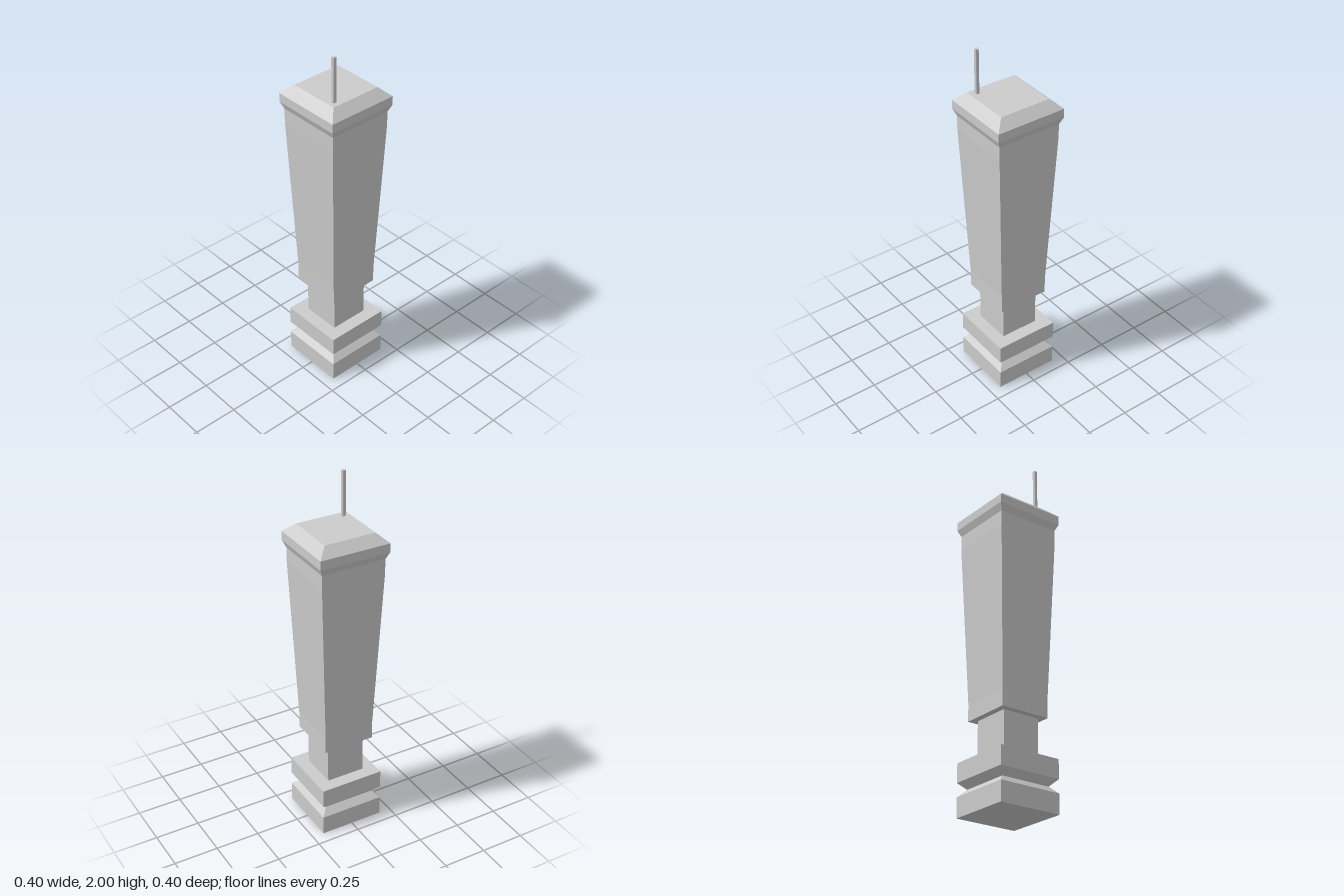
import * as THREE from 'three';

const material = new THREE.MeshStandardMaterial({ color: 0xcccccc, flatShading: true });

// Square post section: four-sided lathe from [half width, height] pairs, bottom to top
function squareTurned(name, profile) {
  const points = profile.map(([half, y]) => new THREE.Vector2(half * Math.SQRT2, y));
  const geometry = new THREE.LatheGeometry(points, 4, Math.PI / 4);
  const mesh = new THREE.Mesh(geometry, material);
  mesh.name = name;
  return mesh;
}

// Thin upright rod with a rounded-square section
function makeRod(x, z, y0, y1, half, r) {
  const shape = new THREE.Shape();
  const corners = [[1, -1], [1, 1], [-1, 1], [-1, -1]];
  const inner = half - r;
  corners.forEach(([sx, sy], i) => {
    const start = (i - 1) * Math.PI / 2;
    shape.absarc(sx * inner, sy * inner, r, start, start + Math.PI / 2, false);
  });
  shape.closePath();
  const geometry = new THREE.ExtrudeGeometry(shape, { depth: y1 - y0, bevelEnabled: false, curveSegments: 3 });
  geometry.rotateX(-Math.PI / 2);
  const mesh = new THREE.Mesh(geometry, material);
  mesh.name = 'rod';
  mesh.position.set(x, y0, z);
  return mesh;
}

export function createModel() {
  const post = new THREE.Group();
  post.name = 'post';

  post.add(
    // Foot block with a V-groove around it
    squareTurned('base', [
      [0, 0], [0.183, 0], [0.183, 0.11], [0.146, 0.147],
      [0.183, 0.185], [0.183, 0.29], [0, 0.29],
    ]),
    // Narrow neck
    squareTurned('neck', [[0.11, 0.29], [0.11, 0.515]]),
    // Shaft widening upward between short straight ends
    squareTurned('shaft', [
      [0, 0.513], [0.146, 0.513], [0.146, 0.61], [0.183, 1.53], [0.183, 1.61],
    ]),
    // Flared cap with a bevelled top
    squareTurned('cap', [
      [0.183, 1.61], [0.2, 1.65], [0.2, 1.7], [0.146, 1.75], [0, 1.75],
    ]),
    makeRod(-0.11, 0.108, 1.74, 2, 0.01, 0.005),
  );
  return post;
}
